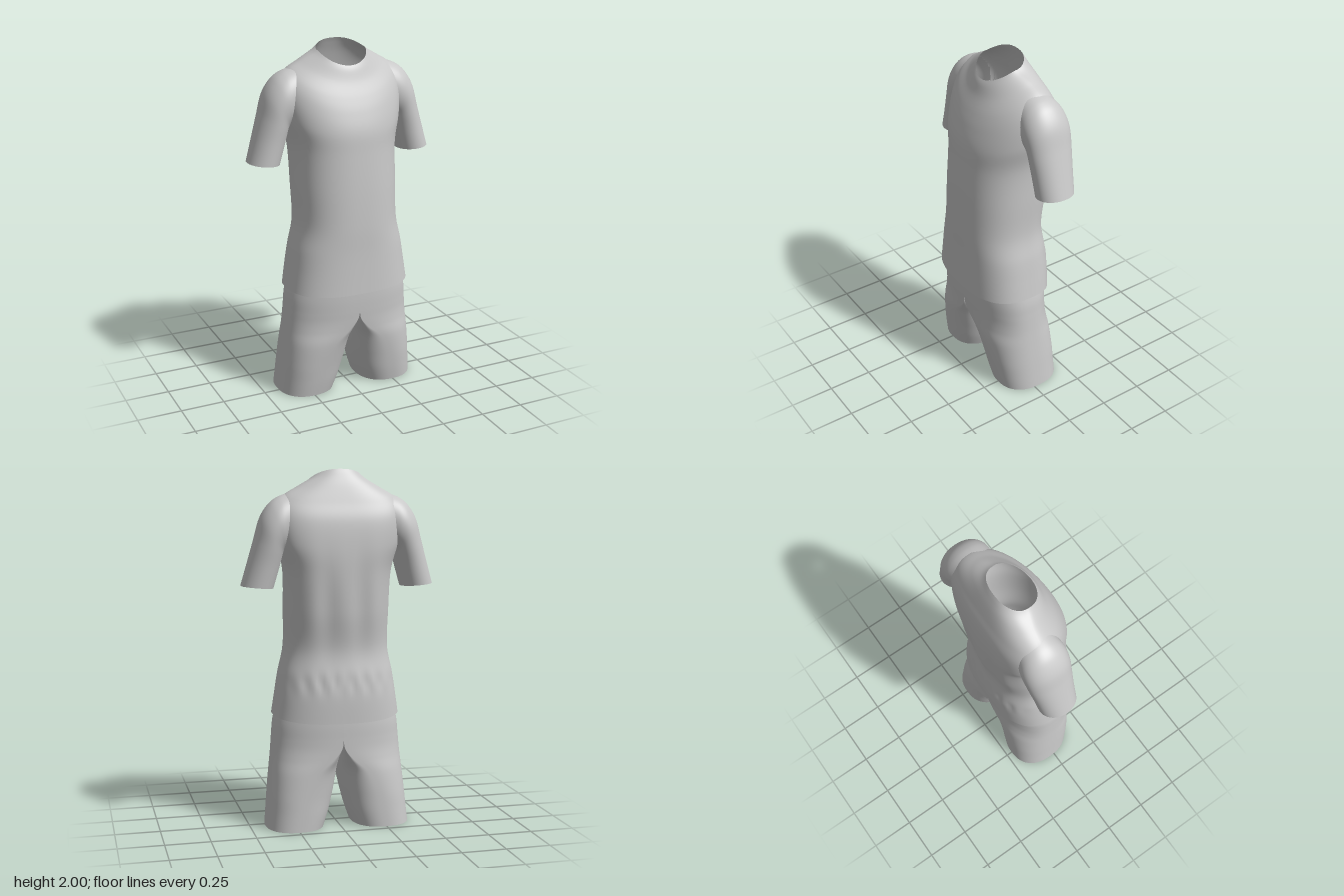
import * as THREE from 'three';

const fabric = new THREE.MeshStandardMaterial({ color: 0xc8c8c8, side: THREE.DoubleSide });
fabric.name = 'grey fabric';

const SEG = 96, SUB = 8;
const spow = (v, p) => Math.sign(v) * Math.pow(Math.abs(v), p);
const bump = (v, centre, width) => Math.exp(-(((v - centre) / width) ** 2));

// Smooth open tube through rings listed from top to bottom; side = -1 mirrors it.
// place(ring, cos, sin) returns [x, y, z]; faces with all corners in the opening are left out.
function loft(name, rings, place, opening, side = 1) {
  const points = [], index = [], rows = (rings.length - 1) * SUB;
  const ringAt = (i) => rings[Math.min(Math.max(i, 0), rings.length - 1)];
  for (let r = 0; r <= rows; r++) {
    const k = Math.min(Math.floor(r / SUB), rings.length - 2), t = r / SUB - k;
    const ring = rings[0].map((_, c) => {
      const [p0, p1, p2, p3] = [-1, 0, 1, 2].map((d) => ringAt(k + d)[c]);
      return p1 + 0.5 * t * (p2 - p0 + t * (2 * p0 - 5 * p1 + 4 * p2 - p3 + t * (3 * (p1 - p2) + p3 - p0)));
    });
    for (let j = 0; j < SEG; j++) {
      const a = (j / SEG) * Math.PI * 2;
      const [x, y, z] = place(ring, Math.cos(a), Math.sin(a));
      points.push([side * x, y, z]);
    }
  }
  for (let r = 0; r < rows; r++) {
    for (let j = 0; j < SEG; j++) {
      const n = (j + 1) % SEG;
      const a = r * SEG + j, b = r * SEG + n, c = a + SEG, d = b + SEG;
      if ([a, b, c, d].every((v) => opening(...points[v]))) continue;
      if (side > 0) index.push(a, b, c, b, d, c);
      else index.push(a, c, b, b, c, d);
    }
  }
  const geo = new THREE.BufferGeometry();
  geo.setAttribute('position', new THREE.Float32BufferAttribute(points.flat(), 3));
  geo.setIndex(index);
  geo.computeVertexNormals();
  const mesh = new THREE.Mesh(geo, fabric);
  mesh.name = name;
  return mesh;
}

// Shirt body: [y front, y side, y back, half width, z front, z side, z back, front and back squareness]
const bodyRings = [
  [1.885, 1.957, 2.0, 0.14, 0.09, -0.03, -0.135, 1, 0.88],
  [1.86, 1.94, 1.97, 0.165, 0.103, -0.04, -0.15, 1, 0.88],
  [1.80, 1.905, 1.91, 0.23, 0.125, -0.06, -0.175, 1, 0.82],
  [1.72, 1.85, 1.82, 0.315, 0.162, -0.07, -0.205, 0.97, 0.7],
  [1.64, 1.765, 1.72, 0.345, 0.193, -0.07, -0.235, 0.95, 0.62],
  [1.54, 1.62, 1.58, 0.337, 0.22, -0.06, -0.248, 0.92, 0.64],
  [1.42, 1.45, 1.43, 0.3, 0.23, -0.04, -0.247, 0.88, 0.74],
  [1.22, 1.22, 1.22, 0.294, 0.243, -0.02, -0.232, 0.85, 0.8],
  [1.02, 1.02, 1.02, 0.294, 0.25, -0.01, -0.205, 0.82, 0.82],
  [0.87, 0.87, 0.87, 0.324, 0.25, 0, -0.22, 0.8, 0.8],
  [0.75, 0.75, 0.75, 0.343, 0.252, 0, -0.23, 0.78, 0.8],
  [0.63, 0.64, 0.61, 0.36, 0.255, 0, -0.23, 0.76, 0.8],
];
function placeBody([yf, ys, yb, w, zf, zs, zb, pf, pb], c, s) {
  const p = s > 0 ? pf : pb;
  const x = w * spow(c, p), e = spow(s, p);
  const y = ys + ((s > 0 ? yf : yb) - ys) * Math.abs(s) ** 1.4;
  let z = zs + e * (s > 0 ? zf - zs : zs - zb);
  // Draped folds down the back and gathers at the waist
  if (s < 0) {
    z -= 0.008 * s * s * Math.cos(x * 34) * bump(y, 1.25, 0.25);
    z -= 0.006 * s * s * Math.cos(x * 75) * bump(y, 0.83, 0.05);
  }
  return [x, y, z];
}
// Armhole, hidden by the sleeve
const armhole = (x, y, z) => Math.abs(x) > 0.29 && Math.hypot((y - 1.7) / 0.14, (z + 0.072) / 0.115) < 1;

// Sleeve, fanning out from the armhole: [inner x, inner y, outer x, outer y, z front, z back]
const sleeveRings = [
  [0.305, 1.55, 0.275, 1.872, 0.055, -0.195],
  [0.312, 1.548, 0.338, 1.85, 0.06, -0.204],
  [0.314, 1.545, 0.39, 1.81, 0.06, -0.206],
  [0.316, 1.538, 0.437, 1.735, 0.057, -0.204],
  [0.32, 1.52, 0.47, 1.62, 0.053, -0.197],
  [0.335, 1.46, 0.505, 1.5, 0.047, -0.185],
  [0.365, 1.355, 0.543, 1.37, 0.043, -0.172],
];
function placeSleeve([xi, yi, xo, yo, zf, zb], c, s) {
  const t = (1 + c) / 2;
  return [xi + (xo - xi) * t, yi + (yo - yi) * t, (zf + zb) / 2 + ((zf - zb) / 2) * spow(s, 0.93)];
}

// Shorts half: [y, inner x, outer x, z front, z back, how far it joins the other half]
const shortsRings = [
  [0.85, 0, 0.30, 0.215, -0.19, 1],
  [0.70, 0, 0.335, 0.225, -0.205, 1],
  [0.60, 0, 0.357, 0.225, -0.21, 1],
  [0.52, 0, 0.365, 0.221, -0.21, 1],
  [0.46, 0, 0.37, 0.216, -0.21, 0.94],
  [0.40, 0.001, 0.375, 0.21, -0.21, 0.68],
  [0.32, 0.01, 0.383, 0.202, -0.21, 0.25],
  [0.20, 0.029, 0.395, 0.185, -0.212, 0.03],
  [0.09, 0.056, 0.405, 0.168, -0.214, 0],
  [0.005, 0.085, 0.413, 0.152, -0.215, 0],
];
function placeShorts([y, xi, xo, zf, zb, join], c, s) {
  const cx = spow(c, 0.85), cz = spow(s, 0.85);
  const leg = (xi + xo) / 2 + ((xo - xi) / 2) * cx;
  const hip = Math.max(0, xo * cx);
  const x = Math.max(0, leg + (hip - leg) * Math.min(join, 1));
  return [x, y, (zf + zb) / 2 + ((zf - zb) / 2) * cz];
}
// No wall where the two halves of the shorts meet
const centreSeam = (x) => Math.abs(x) < 1e-4;

export function createModel() {
  const model = new THREE.Group();
  model.name = 'sportsOutfit';
  const shirt = new THREE.Group();
  shirt.name = 'shirt';
  const shorts = new THREE.Group();
  shorts.name = 'shorts';
  shirt.add(loft('shirtBody', bodyRings, placeBody, armhole));
  for (const [label, side] of [['left', 1], ['right', -1]]) {
    shirt.add(loft(label + 'Sleeve', sleeveRings, placeSleeve, () => false, side));
    shorts.add(loft(label + 'ShortsLeg', shortsRings, placeShorts, centreSeam, side));
  }
  model.add(shirt, shorts);
  return model;
}
